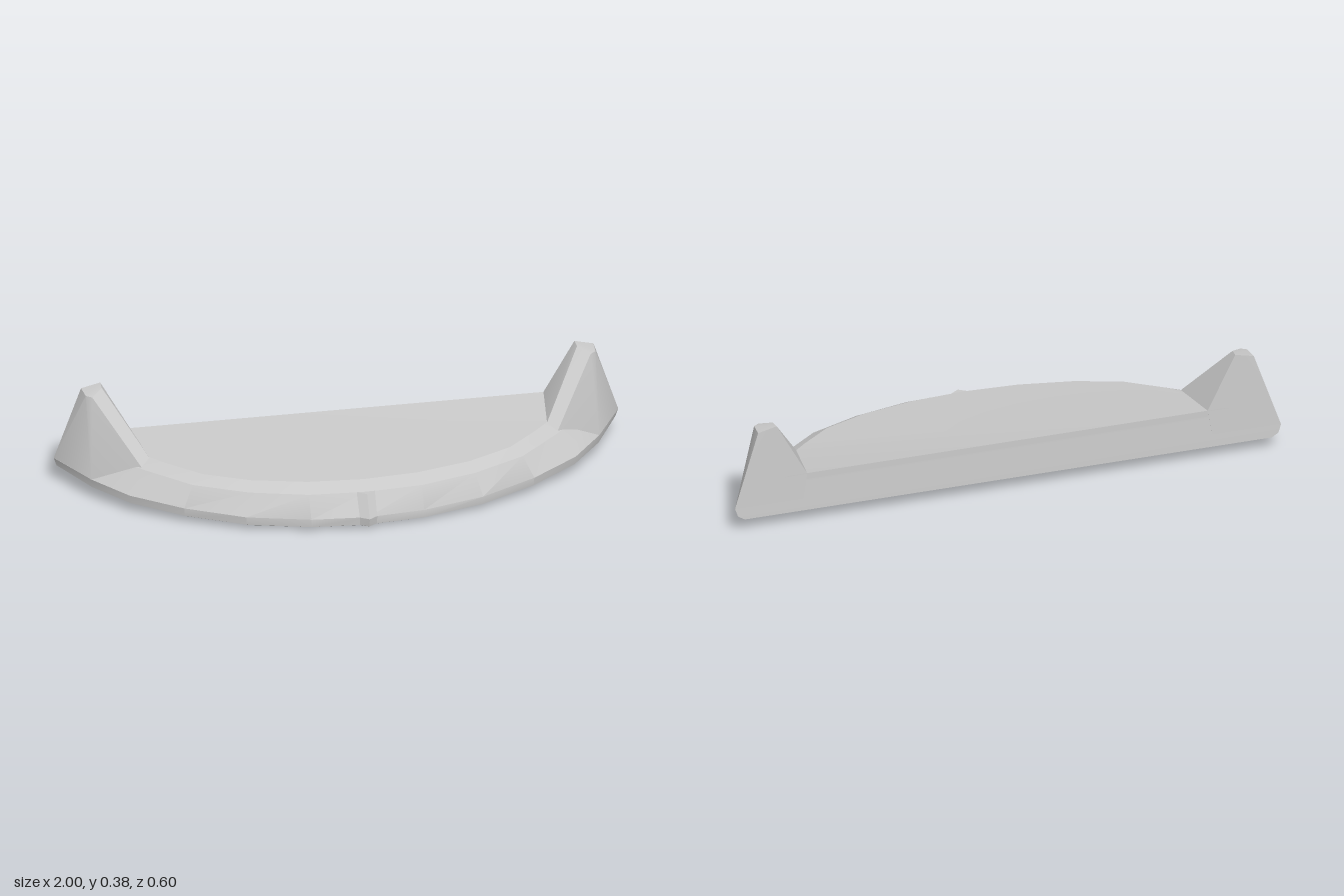
import * as THREE from 'three';
import { toCreasedNormals } from 'three/addons/utils/BufferGeometryUtils.js';
import { ConvexGeometry } from 'three/addons/geometries/ConvexGeometry.js';

// Half outlines [x, z] from the front centre to the rear corner, with height above the tilted keel
const RINGS = {
  keel: { h: 0.002, pts: [[0, 0.255], [0.195, 0.238], [0.405, 0.188], [0.6, 0.095], [0.765, -0.02], [0.875, -0.145], [0.965, -0.3]] },
  chine: { h: 0.017, pts: [[0, 0.28], [0.2, 0.264], [0.418, 0.21], [0.618, 0.114], [0.786, -0.002], [0.897, -0.132], [0.99, -0.299]] },
  beam: { h: 0.047, pts: [[0, 0.283], [0.2, 0.267], [0.42, 0.213], [0.62, 0.117], [0.79, 0], [0.9, -0.13], [1, -0.296]] },
  shoulder: { h: 0.118, pts: [[0, 0.235], [0.2, 0.222], [0.4, 0.172], [0.585, 0.088], [0.73, -0.04], [0.83, -0.14], [0.93, -0.29]] },
  deck: { h: 0.141, pts: [[0, 0.188], [0.195, 0.174], [0.387, 0.13], [0.545, 0.06], [0.66, -0.04], [0.72, -0.1], [0.8, -0.289]] },
};

// Mirror a half outline and tilt it so the rear rises
function ring({ h, pts }) {
  const left = pts.slice(1).reverse().map(([x, z]) => [-x, z]);
  return [...left, ...pts].map(([x, z]) => new THREE.Vector3(x, h + (0.255 - z) * 0.083, z));
}

// Join rings from bottom to top, the last segment closing the straight rear
function loft(rings, { bottom = false, top = false, crease }) {
  const tris = [];
  const n = rings[0].length;
  for (let j = 0; j < rings.length - 1; j++) {
    const lo = rings[j], hi = rings[j + 1];
    for (let i = 0; i < n; i++) {
      const k = (i + 1) % n;
      tris.push(lo[i], lo[k], hi[k], lo[i], hi[k], hi[i]);
    }
  }
  const first = rings[0], last = rings[rings.length - 1];
  for (let i = 1; i < n - 1; i++) {
    if (bottom) tris.push(first[0], first[i + 1], first[i]);
    if (top) tris.push(last[0], last[i], last[i + 1]);
  }
  const geo = new THREE.BufferGeometry().setFromPoints(tris);
  geo.computeVertexNormals();
  return toCreasedNormals(geo, crease);
}

function convex(points, crease) {
  const geo = new ConvexGeometry(points.map((p) => new THREE.Vector3(...p)));
  return toCreasedNormals(geo, crease);
}

export function createModel() {
  const group = new THREE.Group();
  const grey = new THREE.MeshStandardMaterial({ color: 0xc8c8c8 });
  grey.name = 'grey';
  const add = (name, geo) => {
    const mesh = new THREE.Mesh(geo, grey);
    mesh.name = name;
    group.add(mesh);
  };

  // Rounded hull side and flat underside
  const { keel, chine, beam, shoulder, deck } = RINGS;
  add('hull', loft([keel, chine, beam, shoulder].map(ring), { bottom: true, crease: 0.65 }));

  // Bevelled rim and flat deck
  add('deck', loft([shoulder, deck].map(ring), { top: true, crease: 0.4 }));

  // Upright fins at the rear corners
  for (const s of [1, -1]) {
    const fin = [
      // tip
      [0.84, 0.38, -0.274], [0.842, 0.377, -0.237], [0.883, 0.361, -0.2],
      [0.903, 0.362, -0.215], [0.908, 0.364, -0.274],
      // foot on the deck
      [0.733, 0.185, -0.289], [0.703, 0.166, -0.08], [0.737, 0.146, -0.055],
      // foot on the hull side
      [0.8, 0.09, -0.08], [0.9, 0.079, -0.13], [1, 0.093, -0.296], [0.75, 0.093, -0.296],
    ].map(([x, y, z]) => [s * x, y, z]);
    add(s > 0 ? 'leftFin' : 'rightFin', convex(fin, 0.5));
  }

  // Small wedge down the front centre
  const wedge = [[0.255, 0.12], [0.302, 0.045], [0.296, 0.015], [0.255, 0.002]].map(([z, y]) => [0, y, z]);
  for (const x of [-0.033, 0.033]) {
    for (const [z, y] of [[0.232, 0.12], [0.279, 0.045], [0.276, 0.016], [0.25, 0.003]]) wedge.push([x, y, z]);
  }
  add('bowWedge', convex(wedge, 0.3));

  return group;
}
